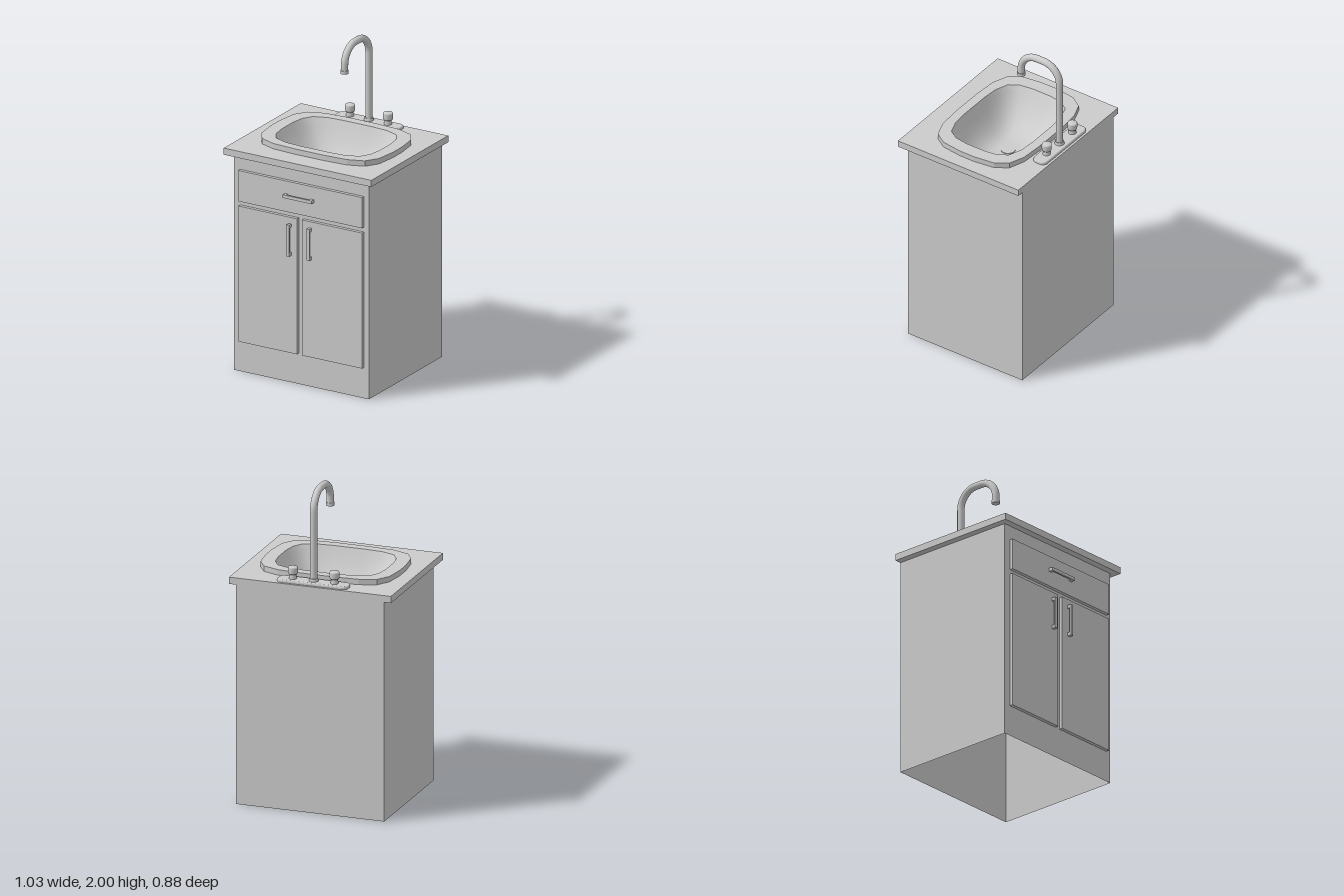
import * as THREE from 'three';

const grey = new THREE.MeshStandardMaterial({ color: 0xcccccc });
const greyDouble = new THREE.MeshStandardMaterial({ color: 0xcccccc, side: THREE.DoubleSide });

function add(parent, name, geometry, material = grey) {
  const mesh = new THREE.Mesh(geometry, material);
  mesh.name = name;
  parent.add(mesh);
  return mesh;
}

// Box given by its minimum and maximum corners
function box(parent, name, x0, x1, y0, y1, z0, z1) {
  add(parent, name, new THREE.BoxGeometry(x1 - x0, y1 - y0, z1 - z0))
    .position.set((x0 + x1) / 2, (y0 + y1) / 2, (z0 + z1) / 2);
}

// Mirror one quadrant of [x, z] points into a closed loop
function mirrorLoop(quarter, zc) {
  const flip = [...quarter].reverse();
  return [
    ...quarter.map(([x, z]) => [x, z]),
    ...flip.map(([x, z]) => [x, -z]),
    ...quarter.map(([x, z]) => [-x, -z]),
    ...flip.map(([x, z]) => [-x, z]),
  ].map(([x, z]) => new THREE.Vector2(x, z + zc));
}

// Horizontal slab from a plan outline (x, z), with an optional hole
function slab(outline, hole, y, height, bevel = 0) {
  const flip = pts => pts.map(p => new THREE.Vector2(p.x, -p.y));
  const shape = new THREE.Shape(flip(outline));
  if (hole) shape.holes.push(new THREE.Path(flip(hole)));
  const g = new THREE.ExtrudeGeometry(shape, {
    depth: height - bevel, bevelEnabled: bevel > 0, bevelSize: bevel,
    bevelThickness: bevel, bevelOffset: -bevel, bevelSegments: 3,
  });
  return g.rotateX(-Math.PI / 2).translate(0, y, 0);
}

// Bowl lofted from the rim opening down to the drain circle
function bowl(rim, yTop, depth, drainRadius) {
  const rows = 14, n = rim.length, pos = [], idx = [];
  for (let r = 0; r <= rows; r++) {
    const s = 1 - r / rows;
    for (const p of rim) {
      const k = drainRadius / p.length();
      const f = k + (1 - k) * s;
      pos.push(p.x * f, yTop - depth * (1 - Math.pow(s, 2.5)), p.y * f);
    }
  }
  for (let r = 0; r < rows; r++) {
    for (let i = 0; i < n; i++) {
      const a = r * n + i, b = r * n + (i + 1) % n;
      idx.push(a, b, a + n, b, b + n, a + n);
    }
  }
  const g = new THREE.BufferGeometry();
  g.setAttribute('position', new THREE.Float32BufferAttribute(pos, 3));
  g.setIndex(idx);
  g.computeVertexNormals();
  return g;
}

// Bar handle on two short posts, centred at the origin along y
function handle(name, length) {
  const g = new THREE.Group();
  g.name = name;
  const h = length / 2;
  box(g, 'handleBar', -0.01, 0.01, -h, h, 0.016, 0.027);
  for (const s of [-1, 1]) {
    const c = s * (h - 0.01);
    box(g, 'handlePost', -0.01, 0.01, c - 0.01, c + 0.01, -0.002, 0.018);
  }
  return g;
}

export function createModel() {
  const model = new THREE.Group();
  model.name = 'sinkCabinet';

  // Cabinet: four thin walls, open underneath
  const cabinet = new THREE.Group();
  cabinet.name = 'cabinet';
  model.add(cabinet);
  const w = 0.94, d = 0.827, h = 1.372, zc = -0.0225;
  ['frontWall', 'leftWall', 'backWall', 'rightWall'].forEach((name, i) => {
    const side = i % 2 === 1;
    const g = new THREE.PlaneGeometry(side ? d : w, h);
    g.translate(0, h / 2, (side ? w : d) / 2).rotateY(i * Math.PI / 2).translate(0, 0, zc);
    add(cabinet, name, g, greyDouble);
  });

  // Drawer and doors
  box(model, 'drawerFront', -0.425, 0.435, 1.085, 1.28, 0.385, 0.413);
  box(model, 'rightDoor', -0.425, -0.018, 0.195, 1.055, 0.385, 0.413);
  box(model, 'leftDoor', 0.018, 0.435, 0.195, 1.055, 0.385, 0.413);
  const drawerHandle = handle('drawerHandle', 0.2);
  drawerHandle.rotation.z = Math.PI / 2;
  drawerHandle.position.set(0, 1.19, 0.413);
  model.add(drawerHandle);
  for (const [name, x] of [['rightDoorHandle', -0.065], ['leftDoorHandle', 0.075]]) {
    const g = handle(name, 0.2);
    g.position.set(x, 0.915, 0.413);
    model.add(g);
  }

  // Countertop, raised sink rim and bowl
  const outer = mirrorLoop([[0.105, 0.306], [0.257, 0.296], [0.358, 0.259], [0.408, 0.183], [0.425, 0.05]], -0.004);
  const inner = mirrorLoop([[0.1, 0.247], [0.205, 0.239], [0.29, 0.208], [0.328, 0.146], [0.34, 0.062]], -0.004);
  const top = [[-0.513, -0.438], [0.513, -0.438], [0.513, 0.435], [-0.513, 0.435]]
    .map(([x, z]) => new THREE.Vector2(x, z));
  add(model, 'countertop', slab(top, inner, 1.37, 0.042));
  add(model, 'sinkRim', slab(outer, inner, 1.41, 0.036));
  add(model, 'sinkBowl', bowl(inner, 1.446, 0.22, 0.04), greyDouble);
  add(model, 'drain', new THREE.CylinderGeometry(0.043, 0.043, 0.008, 32)).position.set(0, 1.227, -0.003);

  // Tap base plate with rounded corners
  const faucet = new THREE.Group();
  faucet.name = 'faucet';
  model.add(faucet);
  const corner = [];
  for (let i = 0; i <= 6; i++) {
    const a = Math.PI / 2 * (1 - i / 6);
    corner.push([0.19 + 0.035 * Math.cos(a), 0.0125 + 0.035 * Math.sin(a)]);
  }
  add(faucet, 'basePlate', slab(mirrorLoop(corner, -0.376), null, 1.41, 0.02, 0.008));

  // Gooseneck spout
  const z0 = -0.375, z1 = -0.098, r = 0.115, yc = 1.978 - r;
  const path = new THREE.CurvePath();
  const v = (y, z) => new THREE.Vector3(0, y, z);
  const arc = (z, from, to) => new THREE.CatmullRomCurve3(
    Array.from({ length: 9 }, (_, i) => {
      const a = from + (to - from) * i / 8;
      return v(yc + r * Math.sin(a), z + r * Math.cos(a));
    }));
  path.add(new THREE.LineCurve3(v(1.42, z0), v(yc, z0)));
  path.add(arc(z0 + r, Math.PI, Math.PI / 2));
  path.add(new THREE.LineCurve3(v(1.978, z0 + r), v(1.978, z1 - r)));
  path.add(arc(z1 - r, Math.PI / 2, 0));
  path.add(new THREE.LineCurve3(v(yc, z1), v(1.825, z1)));
  add(faucet, 'spout', new THREE.TubeGeometry(path, 90, 0.022, 20));
  add(faucet, 'spoutTip', new THREE.CylinderGeometry(0.025, 0.025, 0.02, 24)).position.set(0, 1.826, z1);
  add(faucet, 'spoutCollar', new THREE.CylinderGeometry(0.026, 0.03, 0.02, 24)).position.set(0, 1.437, z0);

  // Tap knobs
  for (const [name, x] of [['rightKnob', -0.132], ['leftKnob', 0.132]]) {
    const knob = new THREE.Group();
    knob.name = name;
    knob.position.set(x, 1.428, z0);
    faucet.add(knob);
    add(knob, 'knobStem', new THREE.CylinderGeometry(0.02, 0.024, 0.036, 24)).position.y = 0.018;
    const profile = [[0, 0.03], [0.026, 0.03], [0.029, 0.036], [0.03, 0.068], [0.027, 0.075], [0, 0.078]];
    add(knob, 'knobCap', new THREE.LatheGeometry(profile.map(p => new THREE.Vector2(...p)), 28));
  }
  return model;
}
